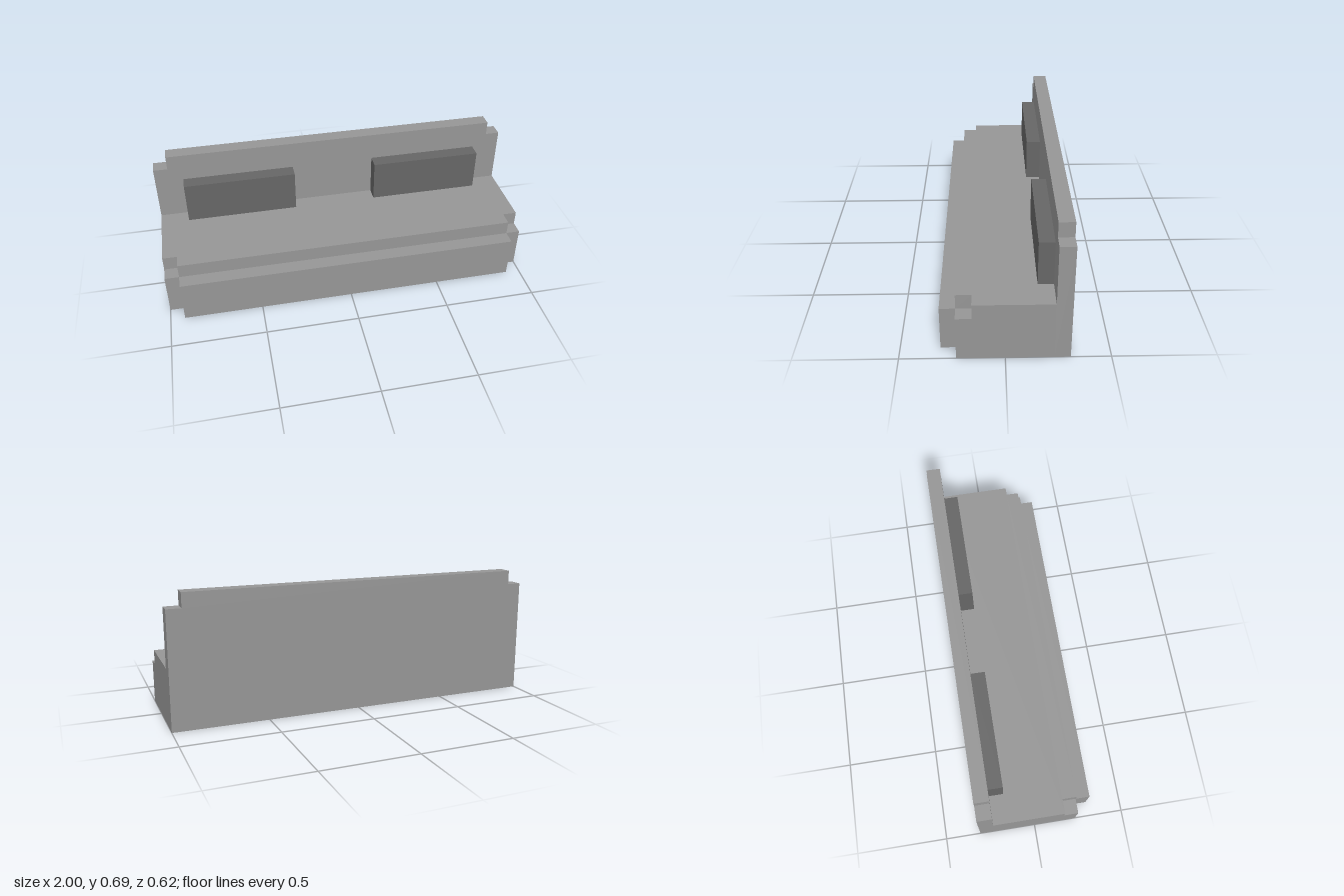
import * as THREE from 'three';

// Everything sits on a grid of 26 x 9 x 8 blocks
const U = 2 / 26;

function material(name, color) {
  const m = new THREE.MeshStandardMaterial({ color });
  m.name = name;
  return m;
}

export function createModel() {
  const group = new THREE.Group();
  group.name = 'sofa';
  const upholstery = material('grey upholstery', 0x969696);
  const cushion = material('dark grey cushion', 0x666666);
  const wood = material('brown wood', 0x7f6142);

  // Box from minimum and maximum corners, in blocks
  function box(name, mat, [x0, y0, z0], [x1, y1, z1]) {
    const geo = new THREE.BoxGeometry((x1 - x0) * U, (y1 - y0) * U, (z1 - z0) * U);
    const mesh = new THREE.Mesh(geo, mat);
    mesh.position.set((x0 + x1) / 2 * U, (y0 + y1) / 2 * U, (z0 + z1) / 2 * U);
    mesh.name = name;
    group.add(mesh);
  }

  // Backrest with a stepped top edge
  box('backrest', upholstery, [-13, 0, -4], [13, 8, -3]);
  box('backrestTop', upholstery, [-12, 8, -4], [12, 9, -3]);

  // Seat with notched front corners, and the lower step in front
  box('seat', upholstery, [-13, 3, -3], [13, 4, 2]);
  box('seatFront', upholstery, [-12, 3, 2], [12, 4, 3]);
  box('frontPanel', upholstery, [-12, 0, 3], [12, 3, 4]);

  // Mirrored side panels, back cushions and corner legs
  for (const s of [-1, 1]) {
    const pair = (name, mat, x0, x1, y0, y1, z0, z1) =>
      box(name, mat, [Math.min(s * x0, s * x1), y0, z0], [Math.max(s * x0, s * x1), y1, z1]);
    const side = s > 0 ? 'left' : 'right';
    pair(side + 'SidePanel', upholstery, 12, 13, 0, 3, -3, 3);
    pair(side + 'BackCushion', cushion, 3, 11, 4, 7, -3, -2);
    pair(side + 'BackLeg', wood, 11, 12, 0, 2, -3, -2);
    pair(side + 'FrontLeg', wood, 11, 12, 0, 2, 2, 3);
  }

  // Wooden base plate under the seat
  box('basePlate', wood, [-12, 2, -3], [12, 3, 3]);

  // Lattice with seven square openings below the plate
  const rect = (path, x0, y0, x1, y1) => path
    .moveTo(x0 * U, y0 * U).lineTo(x1 * U, y0 * U)
    .lineTo(x1 * U, y1 * U).lineTo(x0 * U, y1 * U).closePath();
  const frame = rect(new THREE.Shape(), -11, -2, 11, 2);
  for (let i = 0; i < 7; i++) {
    const x = -10 + i * 3;
    frame.holes.push(rect(new THREE.Path(), x, -1, x + 2, 1));
  }
  const latticeGeo = new THREE.ExtrudeGeometry(frame, { depth: U, bevelEnabled: false });
  latticeGeo.rotateX(-Math.PI / 2).translate(0, U, 0);
  const lattice = new THREE.Mesh(latticeGeo, wood);
  lattice.name = 'baseLattice';
  group.add(lattice);

  return group;
}
